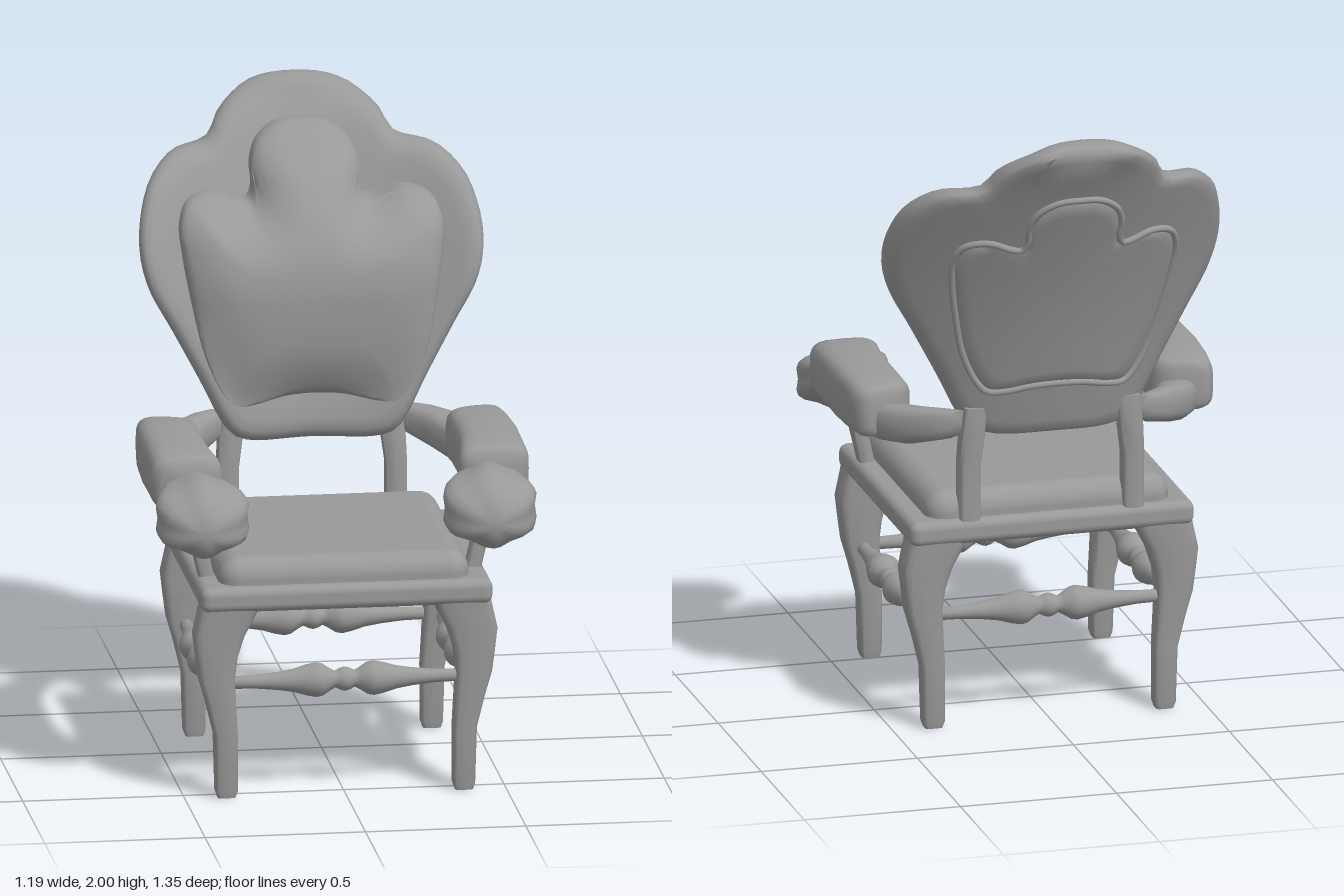
import * as THREE from 'three';
import { RoundedBoxGeometry } from 'three/addons/geometries/RoundedBoxGeometry.js';
import { toCreasedNormals } from 'three/addons/utils/BufferGeometryUtils.js';

const grey = new THREE.MeshStandardMaterial({ color: 0x999999 });

// Closed skin over equal rings of points, capped at both ends
function skin(rings, crease = 1.2) {
  const n = rings[0].length, pos = [], idx = [];
  const mid = r => r.reduce((s, p) => s.add(p), new THREE.Vector3()).divideScalar(n);
  rings.forEach(r => r.forEach(p => pos.push(p.x, p.y, p.z)));
  const first = rings.length * n, last = (rings.length - 1) * n;
  [mid(rings[0]), mid(rings.at(-1))].forEach(p => pos.push(p.x, p.y, p.z));
  for (let j = 0; j < n; j++) {
    const k = (j + 1) % n;
    for (let i = 0; i < rings.length - 1; i++) {
      const a = i * n + j, b = i * n + k;
      idx.push(a, b, b + n, a, b + n, a + n);
    }
    idx.push(first, k, j, first + 1, last + j, last + k);
  }
  const g = new THREE.BufferGeometry();
  g.setAttribute('position', new THREE.Float32BufferAttribute(pos, 3));
  g.setIndex(idx);
  return toCreasedNormals(g, crease);
}

// Rounded-rectangle ring in the xy plane; power 2 is an ellipse, higher is squarer
function ring(cx, cy, z, rx, ry, power = 2, n = 16, lobes = 0) {
  return Array.from({ length: n }, (_, j) => {
    const a = (j / n) * Math.PI * 2, c = Math.cos(a), s = Math.sin(a);
    const k = 1 + lobes * Math.cos(6 * a + Math.PI);
    const f = v => Math.sign(v) * Math.abs(v) ** (2 / power) * k;
    return new THREE.Vector3(cx + rx * f(c), cy + ry * f(s), z);
  });
}

// Upright loft from rows of [x, y, z, half width, half depth]
function post(rows) {
  return skin(rows.map(([x, y, z, rx, rz]) => ring(x, -z, y, rx, rz, 5))).rotateX(-Math.PI / 2);
}

// Copy of a geometry on the other side of x = 0
function mirror(geometry) {
  const g = geometry.clone().scale(-1, 1, 1);
  for (const att of [g.attributes.position, g.attributes.normal]) {
    for (let i = 0; i < att.count; i += 3) {
      const b = new THREE.Vector3().fromBufferAttribute(att, i + 1);
      const c = new THREE.Vector3().fromBufferAttribute(att, i + 2);
      att.setXYZ(i + 1, c.x, c.y, c.z);
      att.setXYZ(i + 2, b.x, b.y, b.z);
    }
  }
  return g;
}

// Symmetric closed outline from the right half, listed bottom to top
function outline(half, n) {
  const pts = half.map(([x, y]) => new THREE.Vector3(x, y, 0));
  const left = half.slice(1, -1).reverse().map(([x, y]) => new THREE.Vector3(-x, y, 0));
  return new THREE.CatmullRomCurve3([...pts, ...left], true, 'centripetal').getSpacedPoints(n).slice(0, n);
}

// Rear surface of the backrest: leaning back, wrapped around the sitter, flared at the crest
const rearZ = (x, y) => {
  const u = y - 0.95, flare = 1.5 * Math.max(0, y - 1.85) ** 2;
  return Math.max(-0.675, -0.28 - 0.218 * u - 0.166 * u * u + 0.67 * x * x - flare);
};
// Front limit of the padding
const paddingZ = y => -0.07 - (y > 1.4 ? 1.33 : 0.3) * (y - 1.4) ** 2;

// Shell whose rings shrink an outline towards a centre; zAt gives the depth
function shell(points, cy, rows, zAt) {
  return skin(rows.map(([s, o]) => points.map(p => {
    const x = p.x * s, y = cy + (p.y - cy) * s;
    return new THREE.Vector3(x, y, zAt(x, y, o));
  })));
}

export function createModel() {
  const chair = new THREE.Group();
  const add = (name, geometry) => {
    const m = new THREE.Mesh(geometry, grey);
    m.name = name;
    chair.add(m);
    return m;
  };
  const addPair = (name, geometry) => {
    add(name + 'Left', geometry);
    add(name + 'Right', mirror(geometry));
  };

  // Seat
  add('seatFrame', new RoundedBoxGeometry(0.91, 0.08, 0.865, 3, 0.028)).position.set(0, 0.64, 0.162);
  add('seatCushion', new RoundedBoxGeometry(0.78, 0.16, 0.8, 5, 0.065)).position.set(0, 0.68, 0.16);

  // Curved legs: height, inner x, outer x, half depth
  const legRows = [
    [0, 0.342, 0.398, 0.026], [0.02, 0.335, 0.405, 0.03], [0.2, 0.335, 0.41, 0.036],
    [0.3, 0.341, 0.434, 0.042], [0.38, 0.345, 0.457, 0.046], [0.45, 0.337, 0.466, 0.05],
    [0.52, 0.315, 0.474, 0.054], [0.57, 0.288, 0.463, 0.057], [0.62, 0.265, 0.452, 0.06],
  ];
  for (const [name, z] of [['frontLeg', 0.527], ['backLeg', -0.205]]) {
    addPair(name, post(legRows.map(([y, a, b, d]) => [(a + b) / 2, y, z, (b - a) / 2, d])));
  }

  // Turned stretchers
  const turning = [[0.038, 0], [0.034, 0.015], [0.026, 0.03], [0.034, 0.045], [0.05, 0.07], [0.054, 0.09],
    [0.048, 0.12], [0.036, 0.16], [0.028, 0.21], [0.021, 0.28], [0.019, 0.37], [0, 0.37]];
  const profile = [...turning.slice(1).reverse().map(([r, y]) => [r, -y]), ...turning]
    .map(([r, y]) => new THREE.Vector2(r, y));
  const turned = new THREE.LatheGeometry(profile, 20);
  for (const z of [0.527, -0.205]) {
    const m = add(z > 0 ? 'frontStretcher' : 'backStretcher', turned);
    m.rotation.z = Math.PI / 2;
    m.position.set(0, 0.363, z);
  }
  for (const x of [0.4, -0.4]) {
    const m = add(x > 0 ? 'sideStretcherLeft' : 'sideStretcherRight', turned);
    m.rotation.x = Math.PI / 2;
    m.position.set(x, 0.363, 0.163);
  }

  // Backrest frame
  const frameLine = outline([[0, 0.94], [0.19, 0.94], [0.25, 0.96], [0.29, 1.01], [0.35, 1.13], [0.44, 1.3],
    [0.51, 1.43], [0.535, 1.53], [0.53, 1.63], [0.49, 1.74], [0.41, 1.81], [0.32, 1.825], [0.285, 1.84],
    [0.25, 1.9], [0.18, 1.955], [0.1, 1.99], [0, 2.0]], 96);
  const frameRows = [[0.02, 0], [0.25, 0], [0.5, 0], [0.75, 0], [0.9, 0], [0.96, 0.003], [0.985, 0.015],
    [1, 0.05], [0.993, 0.08], [0.97, 0.102], [0.93, 0.117], [0.87, 0.123], [0.78, 0.122], [0.6, 0.12],
    [0.4, 0.12], [0.2, 0.12], [0.02, 0.12]];
  add('backFrame', shell(frameLine, 1.45, frameRows, (x, y, o) => rearZ(x, y) + o));

  // Plump lobed padding, rounded over by the distance to its outline
  const padLine = outline([[0, 1.095], [0.09, 1.09], [0.19, 1.07], [0.25, 1.07], [0.29, 1.11], [0.345, 1.23],
    [0.38, 1.38], [0.405, 1.53], [0.41, 1.62], [0.38, 1.685], [0.3, 1.705], [0.225, 1.68], [0.185, 1.675],
    [0.168, 1.71], [0.17, 1.77], [0.145, 1.835], [0.08, 1.88], [0, 1.888]], 200);
  const padRows = [[0.96, 0.06], [0.99, 0.1], [1, 0.14],
    ...[0.995, 0.985, 0.965, 0.94, 0.9, 0.85, 0.79, 0.72, 0.63, 0.52, 0.4, 0.27, 0.14, 0.02].map(s => [s, null])];
  add('backPadding', shell(padLine, 1.42, padRows, (x, y, o) => {
    if (o !== null) return rearZ(x, y) + o;
    const edge = Math.min(...padLine.map(p => Math.hypot(p.x - x, p.y - y)));
    const rise = Math.sqrt(1 - (1 - Math.min(edge / 0.17, 1)) ** 2);
    return THREE.MathUtils.lerp(rearZ(x, y) + 0.16, paddingZ(y), rise);
  }));

  // Smaller rear panel with piping around it
  const panelLine = padLine.map(p => new THREE.Vector3(p.x * 0.87, 1.1 + (p.y - 1.07) * 0.85, 0));
  const panelRows = [[0.02, -0.006], [0.3, -0.006], [0.6, -0.006], [0.85, -0.006], [0.97, -0.004], [1, 0.01]];
  add('rearPanel', shell(panelLine, 1.4, panelRows, (x, y, o) => rearZ(x, y) + o));
  const pipe = new THREE.CatmullRomCurve3(panelLine.map(p => new THREE.Vector3(p.x, p.y, rearZ(p.x, p.y) - 0.004)), true);
  add('rearPiping', new THREE.TubeGeometry(pipe, 144, 0.011, 8, true));

  // Posts under the backrest and the arms
  addPair('backPost', post([[0.262, 0.66, -0.228, 0.034, 0.034], [0.262, 0.85, -0.228, 0.034, 0.034],
    [0.255, 0.93, -0.235, 0.038, 0.034], [0.245, 1.04, -0.238, 0.036, 0.03]]));
  addPair('armPost', post([[0.415, 0.67, 0.402, 0.024, 0.032], [0.44, 0.78, 0.402, 0.025, 0.032],
    [0.47, 0.93, 0.402, 0.027, 0.032]]));

  // Arm rails
  const rail = [[0.29, 0.995, -0.245, 0.045, 0.035], [0.34, 0.98, -0.21, 0.055, 0.05], [0.41, 0.962, -0.14, 0.065, 0.06],
    [0.455, 0.948, -0.05, 0.07, 0.058], [0.48, 0.94, 0.1, 0.075, 0.055], [0.485, 0.94, 0.3, 0.075, 0.055],
    [0.47, 0.94, 0.44, 0.08, 0.06]];
  addPair('armRail', skin(rail.map(r => ring(...r, 3))));

  // Arm pads, with the rear end cut at a slant
  const pad = [[0.475, 0.985, -0.06, 0.055, 0.06], [0.477, 0.985, -0.052, 0.074, 0.078], [0.48, 0.985, -0.02, 0.094, 0.086],
    [0.486, 0.986, 0.06, 0.098, 0.091], [0.49, 0.987, 0.18, 0.1, 0.094], [0.487, 0.986, 0.3, 0.102, 0.092],
    [0.48, 0.984, 0.41, 0.11, 0.089], [0.478, 0.982, 0.445, 0.106, 0.083], [0.476, 0.98, 0.46, 0.085, 0.064]];
  addPair('armPad', skin(pad.map(r => ring(...r, 4, 24).map(p => {
    p.z += 0.28 * (0.475 - p.x) * Math.max(0, 0.2 - p.z) / 0.26;
    return p;
  }))));

  // Lobed hand knobs
  const knob = [[0.46, 0.95, 0.4, 0.08, 0.055], [0.453, 0.947, 0.46, 0.108, 0.072], [0.448, 0.925, 0.51, 0.138, 0.09],
    [0.448, 0.907, 0.56, 0.15, 0.105], [0.448, 0.893, 0.6, 0.14, 0.102], [0.45, 0.883, 0.635, 0.113, 0.086],
    [0.45, 0.878, 0.66, 0.072, 0.058], [0.45, 0.876, 0.673, 0.035, 0.028]];
  addPair('armKnob', skin(knob.map(r => ring(...r, 2, 36, 0.065))));

  return chair;
}
